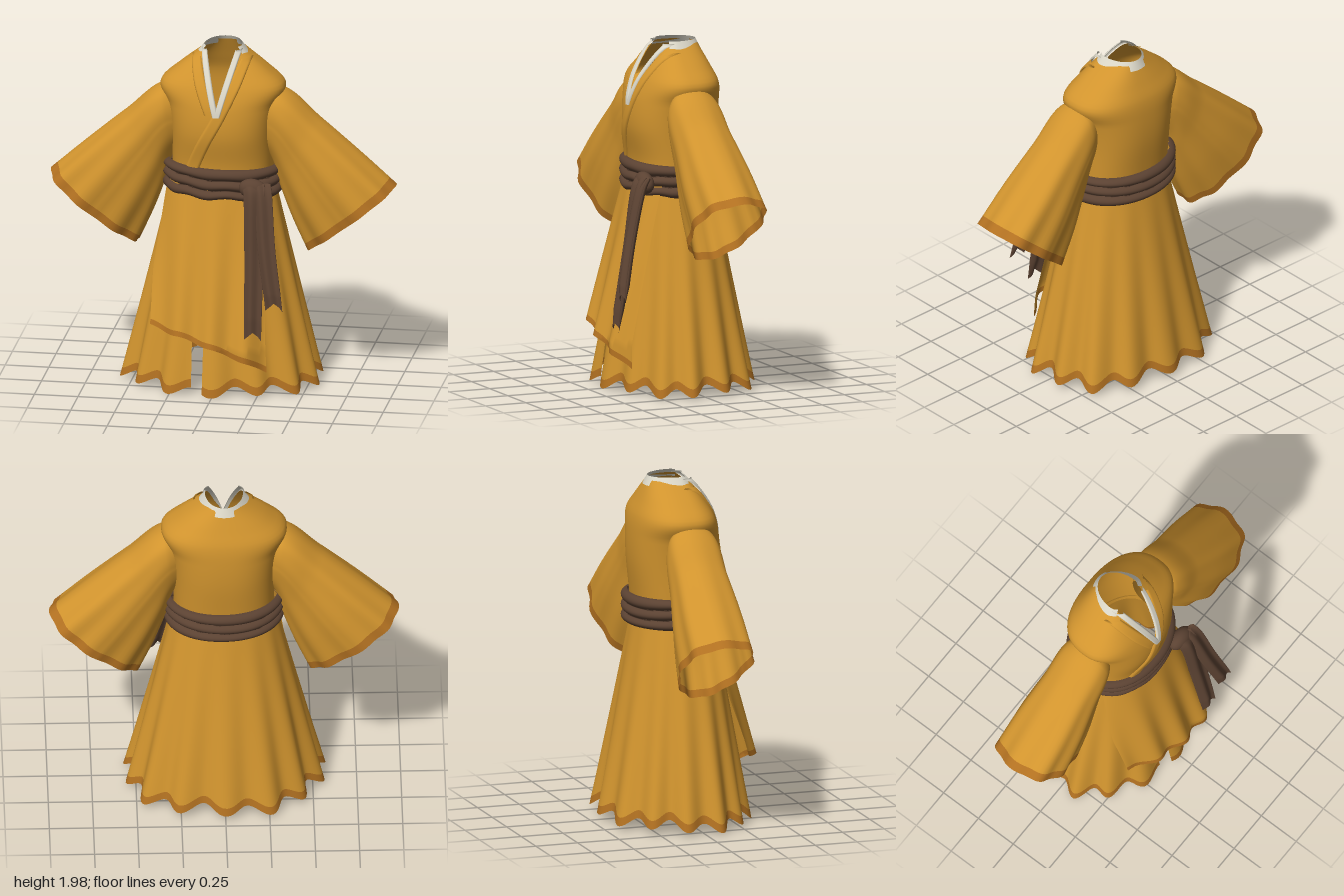
import * as THREE from 'three';
import { ParametricGeometry } from 'three/addons/geometries/ParametricGeometry.js';

const { lerp, clamp } = THREE.MathUtils;
const mat = (name, color) => new THREE.MeshStandardMaterial({ name, color, side: THREE.DoubleSide });
const spow = (s, p) => Math.sign(s) * Math.abs(s) ** p;

// Smooth lookup in rows sorted by their first column
const table = rows => (x, k) => {
  const n = rows.length;
  let i = 0;
  while (i < n - 2 && x > rows[i + 1][0]) i++;
  const slope = j => {
    const a = rows[Math.max(j - 1, 0)], b = rows[Math.min(j + 1, n - 1)];
    return (b[k] - a[k]) / (b[0] - a[0]);
  };
  const p = rows[i], q = rows[i + 1], h = q[0] - p[0], t = clamp((x - p[0]) / h, 0, 1);
  return p[k] * (1 + 2 * t) * (1 - t) ** 2 + slope(i) * h * t * (1 - t) ** 2
    + q[k] * t * t * (3 - 2 * t) + slope(i + 1) * h * t * t * (t - 1);
};

// Torso sections: height, half width, front depth, back depth
const BOX = 2.4;
const torso = table([
  [1.15, 0.285, 0.205, 0.22], [1.32, 0.285, 0.215, 0.24], [1.5, 0.292, 0.245, 0.258],
  [1.65, 0.315, 0.235, 0.258], [1.76, 0.355, 0.2, 0.245], [1.85, 0.265, 0.15, 0.21],
  [1.965, 0.115, 0.07, 0.16],
]);
const neckGap = y => 0.1 * clamp((y - 1.62) / 0.345, 0, 1);
const frontZ = (x, y) =>
  torso(y, 2) * Math.max(0, 1 - Math.abs(x / torso(y, 1)) ** BOX) ** (1 / BOX);

// Point on a ring round the body; angle 0 faces forward
const ring = (p, a, y, rx, front, back, n = 2) => {
  const s = Math.sin(a), c = Math.cos(a);
  return p.set(rx * spow(s, 2 / n), y, (c > 0 ? front : back) * spow(c, 2 / n));
};

export function createModel() {
  const group = new THREE.Group();
  const cloth = mat('ochre cloth', 0xd1942e);
  const trim = mat('dark ochre trim', 0xb27121);
  const sash = mat('brown sash', 0x5b4232);
  const lining = mat('off-white collar', 0xd9d5c6);

  // Surface patch over u 0..1 and v from v0 to v1
  const patch = (name, material, fn, nu, nv, v0 = 0, v1 = 1) => {
    const geo = new ParametricGeometry((u, v, p) => fn(u, lerp(v0, v1, v), p), nu, nv);
    const mesh = new THREE.Mesh(geo, material);
    mesh.name = name;
    group.add(mesh);
    return mesh;
  };

  // Bodice, open in a V at the front
  patch('bodice', cloth, (u, v, p) => {
    const y = lerp(1.15, 1.965, v), rx = torso(y, 1);
    const a0 = Math.asin(clamp(neckGap(y) / rx, 0, 1) ** (BOX / 2));
    ring(p, lerp(a0, 2 * Math.PI - a0, u), y, rx, torso(y, 2), torso(y, 3), BOX);
  }, 72, 40);

  // Standing band round the back of the neck
  patch('neckBand', lining, (u, v, p) => {
    const a = lerp(1.0, 2 * Math.PI - 1.0, u);
    ring(p, a, 1.935 + 0.05 * v, lerp(0.15, 0.108, v), lerp(0.1, 0.075, v), lerp(0.18, 0.155, v));
  }, 48, 4);

  // Flat bands laid on the chest along a path of [x, y, width]
  const band = (name, material, path, lift) => {
    const curve = new THREE.CatmullRomCurve3(path.map(q => new THREE.Vector3(...q)));
    const c = new THREE.Vector3();
    patch(name, material, (u, v, p) => {
      curve.getPoint(v, c);
      const x = c.x + (u - 0.5) * c.z;
      const edge = 0.012 * (1 - Math.abs(2 * u - 1) ** 8);
      p.set(x, c.y, frontZ(x, c.y) + lift - 0.008 + edge);
    }, 10, 30);
  };
  band('rightLapel', cloth, [[-0.145, 1.93, 0.06], [-0.1, 1.79, 0.07], [-0.035, 1.63, 0.07]], 0.008);
  band('leftLapel', cloth,
    [[0.145, 1.93, 0.06], [0.09, 1.79, 0.075], [0.0, 1.6, 0.08], [-0.08, 1.45, 0.08], [-0.155, 1.28, 0.08]], 0.014);
  for (const s of [-1, 1]) {
    band(s < 0 ? 'rightCollar' : 'leftCollar', lining,
      [[s * 0.1, 1.975, 0.036], [s * 0.054, 1.81, 0.038], [s * 0.004, 1.625, 0.036]], 0.022);
  }

  // Wide sleeves: v, top x, top y, bottom x, bottom y, half depth
  const sleeve = table([
    [0, 0.2, 1.68, 0.2, 1.42, 0.08], [0.1, 0.33, 1.745, 0.282, 1.33, 0.145],
    [0.4, 0.555, 1.565, 0.325, 1.18, 0.165], [0.7, 0.775, 1.375, 0.395, 0.99, 0.19],
    [1, 0.985, 1.185, 0.485, 0.79, 0.2],
  ]);
  for (const s of [-1, 1]) {
    const side = s < 0 ? 'right' : 'left';
    const shape = (u, v, p) => {
      const th = 2 * Math.PI * u, c = Math.cos(th), sn = Math.sin(th);
      const [tx, ty, bx, by, hz] = [1, 2, 3, 4, 5].map(k => sleeve(v, k));
      const fold = 1 + 0.05 * v * Math.cos(9 * th + 0.5);
      const f = 0.5 + 0.5 * spow(c, 0.9) * (1 + (fold - 1) * 0.5);
      p.set(s * lerp(bx, tx, f), lerp(by, ty, f),
        hz * spow(sn, 0.9) * (1 + 0.22 * c) * fold - 0.015 * v);
    };
    patch(side + 'Sleeve', cloth, shape, 72, 32, 0, 0.94);
    patch(side + 'Cuff', trim, shape, 72, 3, 0.94, 1);
  }

  // Pleated skirt with a slit at the front
  const skirt = (u, v, p) => {
    const rx = lerp(0.288, 0.55, v);
    const a0 = Math.asin(-0.05 / rx), a1 = 2 * Math.PI + Math.asin(-0.12 / rx);
    const a = lerp(a0, a1, u), wave = Math.cos(14 * a) + 0.35 * Math.cos(5 * a + 1);
    const k = 1 + 0.055 * v * wave;
    const hem = 0.047 - 0.025 * wave - 0.012 * Math.cos(a);
    ring(p, a, lerp(1.22, hem, v), rx * k, lerp(0.205, 0.39, v) * k, lerp(0.225, 0.435, v) * k, 2.1);
  };
  patch('skirt', cloth, skirt, 180, 24, 0, 0.96);
  patch('skirtHem', trim, skirt, 180, 2, 0.96, 1);

  // Overlapping front panel with a slanted hem
  const panel = (u, v, p) => {
    const x = lerp(lerp(-0.3, -0.365, Math.min(1, v * 1.6)), lerp(0.25, 0.31, v), u);
    const hem = 0.395 - 0.09 * u - 0.135 * u * u + 0.008 * Math.cos(u * 22);
    const y = lerp(1.22, hem, v), t = (1.22 - y) / 0.9;
    const rx = lerp(0.318, 0.53, t), z = lerp(0.222, 0.445, Math.min(t, 1.02));
    p.set(x, y, z * Math.max(0, 1 - Math.abs(x / rx) ** 2.2) ** (1 / 2.2) + 0.02 * t * Math.cos(x * 32));
  };
  patch('frontPanel', cloth, panel, 60, 24, 0, 0.965);
  patch('frontPanelHem', trim, panel, 60, 2, 0.965, 1);

  // Sash wound three times round the waist
  patch('sash', sash, (u, v, p) => {
    const a = 2 * Math.PI * u;
    const w = v + 0.05 * Math.sin(2 * a + 1) * Math.sin(Math.PI * v);
    const off = 0.035 * Math.sqrt(Math.abs(Math.sin(3 * Math.PI * w)));
    const y = 1.13 + 0.18 * v + (1 - v) * 0.008 * Math.sin(9 * a) * Math.max(0, Math.cos(a)) - 0.008 * Math.sin(a);
    ring(p, a, y, 0.308 + off, 0.228 + off, 0.255 + off, 2.1);
  }, 90, 36);

  // Knot
  const knot = new THREE.Mesh(new THREE.SphereGeometry(1, 24, 16), sash);
  knot.name = 'knot';
  knot.scale.set(0.085, 0.06, 0.05);
  knot.position.set(0.215, 1.21, 0.25);
  knot.rotation.z = -0.2;
  group.add(knot);

  // Hanging sash ends with notched tips
  const tail = (name, points, w0, w1) => {
    const curve = new THREE.CatmullRomCurve3(points.map(q => new THREE.Vector3(...q)));
    const c = new THREE.Vector3();
    patch(name, sash, (u, v, p) => {
      const th = 2 * Math.PI * u, k = spow(Math.cos(th), 0.8);
      curve.getPoint(v, c);
      const thick = 0.013 * Math.min(1, 12 * (1 - v) + 0.02, 12 * v + 0.02);
      p.set(c.x + lerp(w0, w1, v) * k,
        c.y + v ** 14 * 0.03 * (1 - 1.6 * Math.abs(k)),
        c.z + thick * spow(Math.sin(th), 0.6) + 0.01 * Math.cos(k * 4 + 1));
    }, 40, 36);
  };
  tail('longTail', [[0.215, 1.25, 0.265], [0.225, 1.2, 0.3], [0.235, 0.85, 0.36], [0.24, 0.39, 0.44]], 0.068, 0.05);
  tail('shortTail', [[0.26, 1.25, 0.26], [0.275, 1.2, 0.295], [0.31, 0.9, 0.38], [0.365, 0.575, 0.455]], 0.055, 0.05);

  return group;
}
